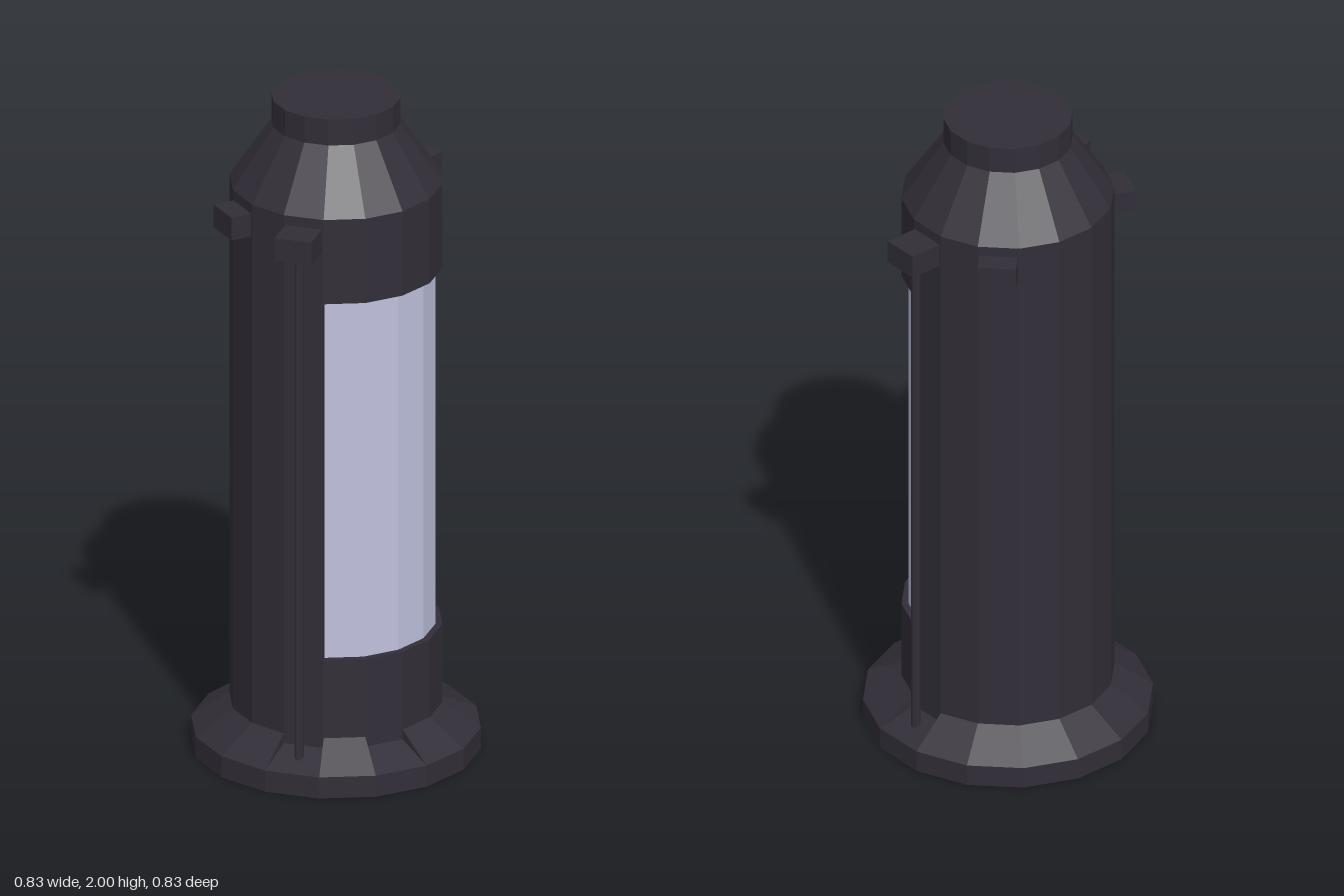
import * as THREE from 'three';

const SIDES = 16;
const STEP = (Math.PI * 2) / SIDES;
const BODY_R = 0.305, FLANGE_R = 0.415;
const WIN_BOTTOM = 0.38, WIN_TOP = 1.48;

export function createModel() {
  const model = new THREE.Group();
  model.name = 'canister';
  const dark = new THREE.MeshStandardMaterial({ color: 0x322e38, flatShading: true });
  const pale = new THREE.MeshStandardMaterial({ color: 0xc0c2de, flatShading: true, side: THREE.DoubleSide });

  const add = (name, geometry, material = dark) => {
    const mesh = new THREE.Mesh(geometry, material);
    mesh.name = name;
    model.add(mesh);
    return mesh;
  };
  const drum = (name, rTop, rBottom, y0, y1, sides = SIDES) => {
    const mesh = add(name, new THREE.CylinderGeometry(rTop, rBottom, y1 - y0, sides));
    mesh.position.y = (y0 + y1) / 2;
    return mesh;
  };

  // Solid drums stacked from the foot to the neck
  drum('baseFlange', FLANGE_R, FLANGE_R, 0, 0.065);
  drum('lowerBody', BODY_R, BODY_R, 0.05, WIN_BOTTOM);
  drum('upperBody', BODY_R, BODY_R, WIN_TOP, 1.74);
  drum('shoulder', 0.185, BODY_R, 1.74, 1.92);
  drum('neck', 0.185, 0.185, 1.92, 2);

  // C-shaped wall around the back, open towards +x
  const wall = [];
  for (let i = 3; i <= 13; i++) wall.push([BODY_R, i * STEP]);
  for (let i = 13; i >= 3; i--) wall.push([0.265, i * STEP]);
  const wallShape = new THREE.Shape(
    wall.map(([r, a]) => new THREE.Vector2(r * Math.cos(a), r * Math.sin(a))));
  const wallGeometry = new THREE.ExtrudeGeometry(wallShape, { depth: WIN_TOP - WIN_BOTTOM, bevelEnabled: false });
  wallGeometry.rotateX(-Math.PI / 2);
  add('bodyWall', wallGeometry).position.y = WIN_BOTTOM;

  // Faceted window set slightly inside the opening
  const glass = new THREE.CylinderGeometry(0.285, 0.285, WIN_TOP - WIN_BOTTOM, 6, 1, true, STEP, STEP * 6);
  add('window', glass, pale).position.y = (WIN_BOTTOM + WIN_TOP) / 2;

  // Sloping skirt with four sunken facets (angles run from +x towards +z)
  const sunken = [1, 3, -2, -4].map(i => (i + SIDES) % SIDES);
  const verts = [];
  const point = (r, y, a) => [r * Math.cos(a), y, r * Math.sin(a)];
  const triangle = (a, b, c) => verts.push(...a, ...b, ...c);
  for (let i = 0; i < SIDES; i++) {
    const low = sunken.includes(i);
    const a0 = i * STEP, a1 = a0 + STEP;
    const innerY = low ? 0.11 : 0.14;
    const out0 = point(FLANGE_R, 0.065, a0), out1 = point(FLANGE_R, 0.065, a1);
    const in0 = point(BODY_R, innerY, a0), in1 = point(BODY_R, innerY, a1);
    triangle(out0, in0, in1);
    triangle(out0, in1, out1);
    if (low) { // side walls of the recess
      triangle(out0, point(BODY_R, 0.14, a0), in0);
      triangle(out1, in1, point(BODY_R, 0.14, a1));
    }
  }
  const skirt = new THREE.BufferGeometry();
  skirt.setAttribute('position', new THREE.Float32BufferAttribute(verts, 3));
  skirt.computeVertexNormals();
  const skirtMaterial = dark.clone();
  skirtMaterial.side = THREE.DoubleSide;
  add('baseSkirt', skirt, skirtMaterial);

  // Brackets on the facet centres; the two beside the window carry rods
  const bracket = (name, angle, outer) => {
    const inner = 0.28;
    const mesh = add(name, new THREE.BoxGeometry(outer - inner, 0.07, 0.11));
    mesh.position.set(...point((inner + outer) / 2, 1.675, angle));
    mesh.rotation.y = -angle;
  };
  for (const side of [1, -1]) {
    const label = side > 0 ? 'front' : 'back';
    const rodAngle = side * STEP * 3.5;
    bracket(label + 'RodBracket', rodAngle, 0.4);
    bracket(label + 'RearBracket', side * STEP * 5.5, 0.363);
    const rod = drum(label + 'Rod', 0.014, 0.014, 0.07, 1.66, 8);
    const [x, , z] = point(0.342, 0, rodAngle);
    rod.position.x = x;
    rod.position.z = z;
  }
  return model;
}
